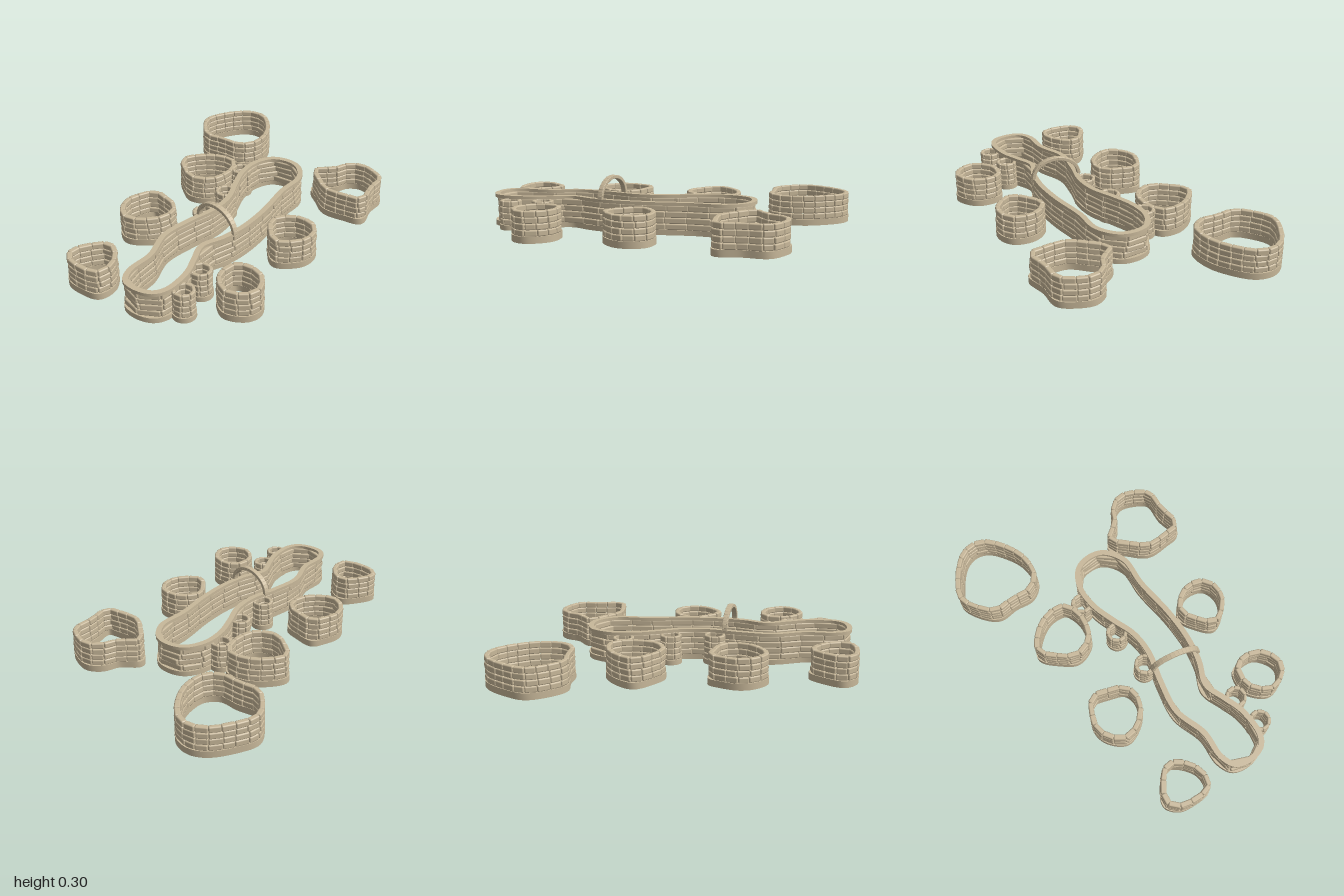
import * as THREE from 'three';
import { mergeGeometries } from 'three/addons/utils/BufferGeometryUtils.js';
import { RoundedBoxGeometry } from 'three/addons/geometries/RoundedBoxGeometry.js';

const stone = new THREE.MeshStandardMaterial({ color: 0xc8b89a, roughness: 0.9 });

// Seeded random number in -1..1
let seed = 7;
const jitter = () => {
  seed = (seed * 16807) % 2147483647;
  return (seed / 2147483647) * 2 - 1;
};

// Closed plan curve; points run clockwise seen from above
const plan = (pts) => new THREE.CatmullRomCurve3(
  pts.map(([x, z]) => new THREE.Vector3(x, 0, z)), true, 'centripetal');

function part(name, geometry) {
  const mesh = new THREE.Mesh(geometry, stone);
  mesh.name = name;
  return mesh;
}

// Rectangular band swept along a closed plan curve
function band(curve, width, y0, y1, n) {
  const h = width / 2;
  const corners = [[h, y0], [h, y1], [-h, y1], [-h, y0]];
  const pos = [], index = [];
  corners.forEach((a, k) => {
    const b = corners[(k + 1) % 4], start = pos.length / 3;
    for (let i = 0; i < n; i++) {
      const p = curve.getPointAt(i / n), t = curve.getTangentAt(i / n);
      for (const [o, y] of [a, b]) pos.push(p.x + t.z * o, y, p.z - t.x * o);
      const P = start + i * 2, N = start + ((i + 1) % n) * 2;
      index.push(P, P + 1, N + 1, P, N + 1, N);
    }
  });
  const g = new THREE.BufferGeometry();
  g.setAttribute('position', new THREE.Float32BufferAttribute(pos, 3));
  g.setIndex(index);
  g.computeVertexNormals();
  return g;
}

// Courses of rounded stones laid as straight chords along a plan curve
function courses(curve, length, depth, y0, y1, rows = 4) {
  const n = Math.max(8, Math.round(curve.getLength() / length));
  const rowH = (y1 - y0) / rows, blocks = [];
  for (let r = 0; r < rows; r++) {
    const joints = [];
    for (let i = 0; i < n; i++) joints.push((i + 0.5 + jitter() * 0.1) / n);
    for (let i = 0; i < n; i++) {
      const a = curve.getPointAt(joints[i] % 1);
      const b = curve.getPointAt(joints[(i + 1) % n] % 1);
      const d = b.clone().sub(a), mid = a.clone().add(b).multiplyScalar(0.5);
      const g = new RoundedBoxGeometry(d.length() + 0.001, rowH * (0.98 + jitter() * 0.03),
        depth + jitter() * 0.003, 1, 0.007);
      g.rotateY(Math.atan2(-d.z, d.x) + jitter() * 0.03);
      g.translate(mid.x, y0 + (r + 0.5) * rowH, mid.z);
      blocks.push(g);
    }
  }
  return mergeGeometries(blocks);
}

// Stone enclosure: smooth footing with four courses above
function enclosure(name, curve, length, depth, samples, bottom = 0) {
  const g = new THREE.Group();
  g.name = name;
  g.add(part('footing', band(curve, depth, bottom, 0.037, samples)));
  g.add(part('stoneCourses', courses(curve, length, depth, 0.036, 0.171)));
  return g;
}

const RINGS = {
  backRightRing: [[-.42, -.98], [-.335, -.955], [-.25, -.845], [-.21, -.74], [-.22, -.61], [-.295, -.55],
    [-.405, -.56], [-.52, -.56], [-.605, -.65], [-.64, -.745], [-.595, -.84], [-.5, -.95]],
  backLeftRing: [[.47, -.715], [.555, -.69], [.63, -.63], [.625, -.505], [.635, -.37], [.545, -.355],
    [.42, -.36], [.33, -.44], [.26, -.525], [.355, -.6], [.4, -.68]],
  upperRightRing: [[-.3, -.36], [-.2, -.35], [-.17, -.3], [-.16, -.21], [-.2, -.105], [-.31, -.065],
    [-.395, -.12], [-.47, -.215], [-.405, -.305]],
  lowerRightRing: [[-.395, .185], [-.29, .21], [-.21, .25], [-.19, .33], [-.235, .42], [-.365, .48],
    [-.45, .41], [-.47, .33], [-.435, .24]],
  frontRightRing: [[-.29, .725], [-.225, .76], [-.165, .86], [-.185, .95], [-.29, .96], [-.37, .94],
    [-.415, .88], [-.37, .795]],
  middleLeftRing: [[.44, -.015], [.53, .01], [.565, .08], [.545, .17], [.43, .245], [.355, .17],
    [.315, .08], [.37, .01]],
  frontLeftRing: [[.425, .51], [.505, .53], [.565, .635], [.535, .705], [.43, .74], [.35, .67],
    [.335, .62], [.36, .525]],
};

const BASIN = [[.08, -.495], [.17, -.47], [.24, -.36], [.23, -.185], [.245, .05], [.235, .24], [.2, .385],
  [.145, .51], [.18, .635], [.21, .74], [.205, .895], [.165, .955], [.08, .975], [-.005, .95], [-.04, .87],
  [-.03, .715], [-.075, .53], [-.04, .345], [.01, .175], [.01, .035], [-.035, -.105], [-.07, -.24],
  [-.065, -.37], [-.005, -.47]];

const NICHES = [[-.11, -.295], [-.055, -.035], [-.045, .21], [.24, .66], [.26, .84]];

// Semi-elliptical bridge of wedge stones, spanning along local x
function bridge() {
  const n = 19, rx = 0.136, ry = 0.11, blocks = [];
  const at = (a) => new THREE.Vector3(-Math.cos(a) * rx, Math.sin(a) * ry, 0);
  for (let i = 0; i < n; i++) {
    const a = at((i / n) * Math.PI), b = at(((i + 1) / n) * Math.PI);
    const d = b.clone().sub(a), mid = a.add(b).multiplyScalar(0.5);
    const g = new RoundedBoxGeometry(d.length() + 0.003, 0.02, 0.03, 1, 0.003);
    g.rotateZ(Math.atan2(d.y, d.x));
    g.translate(mid.x, mid.y, 0);
    blocks.push(g);
  }
  const mesh = part('archBridge', mergeGeometries(blocks));
  mesh.position.set(0.1, 0.183, 0.298);
  mesh.rotation.y = -Math.atan2(0.07, 0.285);
  return mesh;
}

export function createModel() {
  const model = new THREE.Group();
  model.name = 'stoneWalls';

  // Irregular rings around the basin
  for (const [name, pts] of Object.entries(RINGS)) {
    model.add(enclosure(name, plan(pts), 0.062, 0.028, 80));
  }

  // Long central basin with coping
  const curve = plan(BASIN);
  curve.arcLengthDivisions = 600;
  const basin = enclosure('centralBasin', curve, 0.125, 0.028, 180, 0.008);
  basin.add(part('coping', band(curve, 0.03, 0.169, 0.187, 180)));
  model.add(basin);

  // Small round niches set against the basin wall
  NICHES.forEach(([x, z], i) => {
    const pts = [];
    for (let k = 0; k < 8; k++) {
      const a = (k / 8) * Math.PI * 2;
      pts.push([x + Math.sin(a) * 0.053, z - Math.cos(a) * 0.053]);
    }
    model.add(enclosure('niche' + (i + 1), plan(pts), 0.042, 0.02, 32, 0.008));
  });

  model.add(bridge());
  return model;
}
